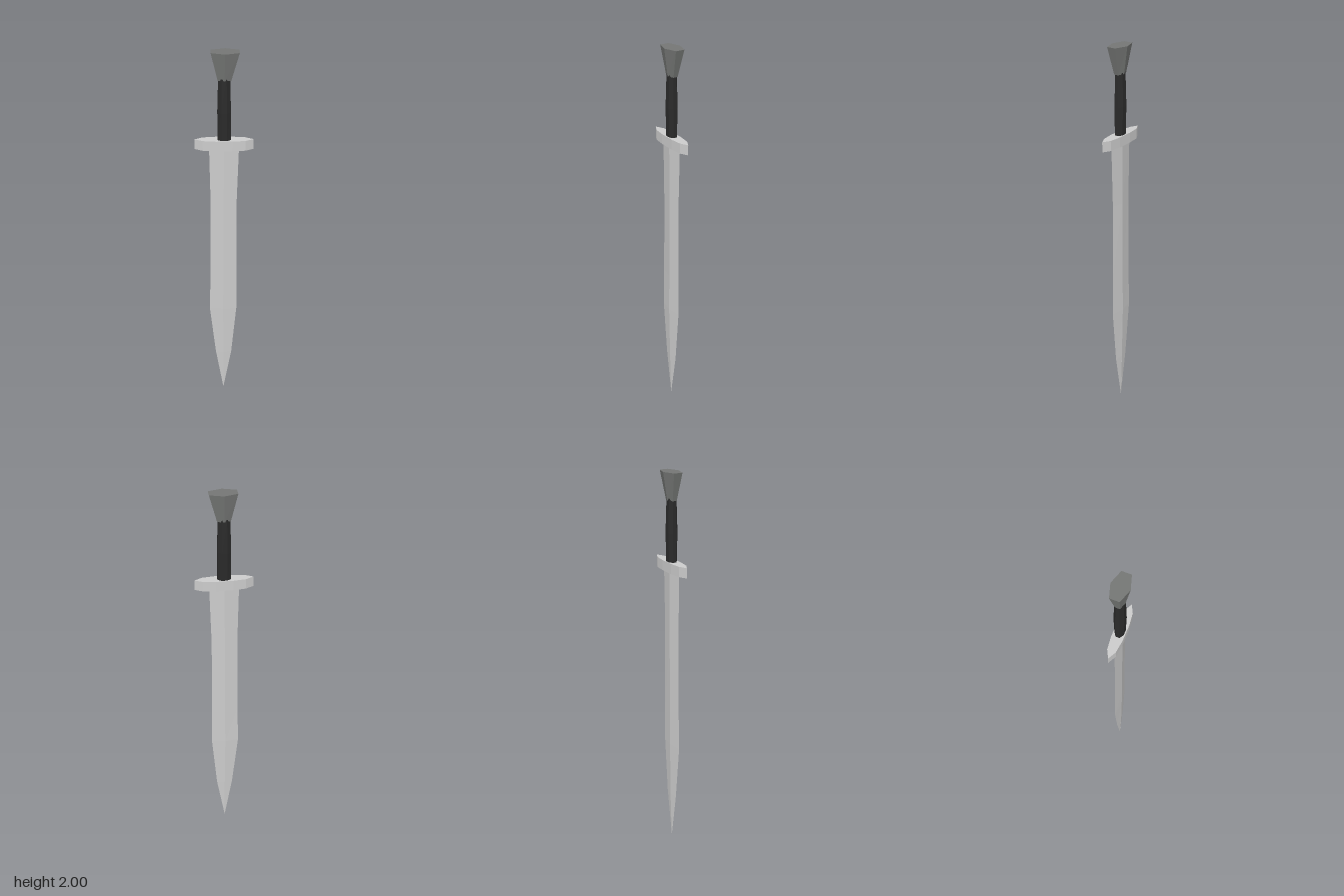
import * as THREE from 'three';

// Lofts closed rings (listed bottom to top, corners in [x, z], counter-clockwise from +x towards +z).
function loft(name, color, sections) {
  const n = sections[0].ring.length;
  const pos = [], idx = [];
  for (const { y, ring } of sections) for (const [x, z] of ring) pos.push(x, y, z);
  for (let s = 0; s < sections.length - 1; s++) {
    for (let i = 0; i < n; i++) {
      const a = s * n + i, b = s * n + (i + 1) % n;
      idx.push(a, a + n, b, b, a + n, b + n);
    }
  }
  // End caps
  const top = (sections.length - 1) * n;
  for (let i = 1; i < n - 1; i++) {
    idx.push(0, i, i + 1);
    idx.push(top, top + i + 1, top + i);
  }
  const geo = new THREE.BufferGeometry();
  geo.setAttribute('position', new THREE.Float32BufferAttribute(pos, 3));
  geo.setIndex(idx);
  const flat = geo.toNonIndexed();
  flat.computeVertexNormals();
  const mesh = new THREE.Mesh(flat, new THREE.MeshStandardMaterial({ color, flatShading: true }));
  mesh.name = name;
  return mesh;
}

// Elliptical ring with the given number of corners
function oval(rx, rz, sides, cx = 0) {
  return Array.from({ length: sides }, (_, i) => {
    const a = ((i + 0.5) / sides) * Math.PI * 2;
    return [cx + rx * Math.cos(a), rz * Math.sin(a)];
  });
}

// Six-cornered ring: flat at both sides, ridged at front and back
function hexagon(left, right, sideZ, ridgeZ) {
  const mid = (left + right) / 2;
  return [[right, sideZ], [mid, ridgeZ], [left, sideZ], [left, -sideZ], [mid, -ridgeZ], [right, -sideZ]];
}

export function createModel() {
  const sword = new THREE.Group();
  sword.name = 'sword';

  // Leaf-shaped blade with a diamond section: [y, left, right, half thickness]
  const blade = [
    [0, -0.005, -0.003, 0.001],
    [0.27, -0.046, 0.04, 0.008],
    [0.58, -0.077, 0.066, 0.012],
    [0.8, -0.071, 0.064, 0.012],
    [1.22, -0.066, 0.061, 0.012],
    [1.54, -0.071, 0.07, 0.013],
  ];
  sword.add(loft('blade', 0xcccccc, blade.map(([y, l, r, t]) => ({
    y, ring: [[r, 0], [(l + r) / 2, t], [l, 0], [(l + r) / 2, -t]],
  }))));

  // Crossguard with pointed ends
  const guard = [
    [0.138, 0], [0.1, 0.02], [0.04, 0.027], [-0.04, 0.027], [-0.1, 0.02],
    [-0.139, 0], [-0.1, -0.02], [-0.04, -0.027], [0.04, -0.027], [0.1, -0.02],
  ];
  sword.add(loft('crossguard', 0xcccccc, [1.53, 1.58].map((y) => ({ y, ring: guard }))));

  // Slightly swollen grip: [y, x radius, z radius]
  const grip = [[1.57, 0.034, 0.023], [1.72, 0.034, 0.027], [1.88, 0.029, 0.022]];
  sword.add(loft('grip', 0x2a2a2a, grip.map(([y, rx, rz]) => ({ y, ring: oval(rx, rz, 8) }))));

  // Flared pommel
  sword.add(loft('pommel', 0x747674, [
    { y: 1.87, ring: hexagon(-0.029, 0.032, 0.011, 0.022) },
    { y: 2, ring: hexagon(-0.059, 0.068, 0.022, 0.042) },
  ]));

  return sword;
}
